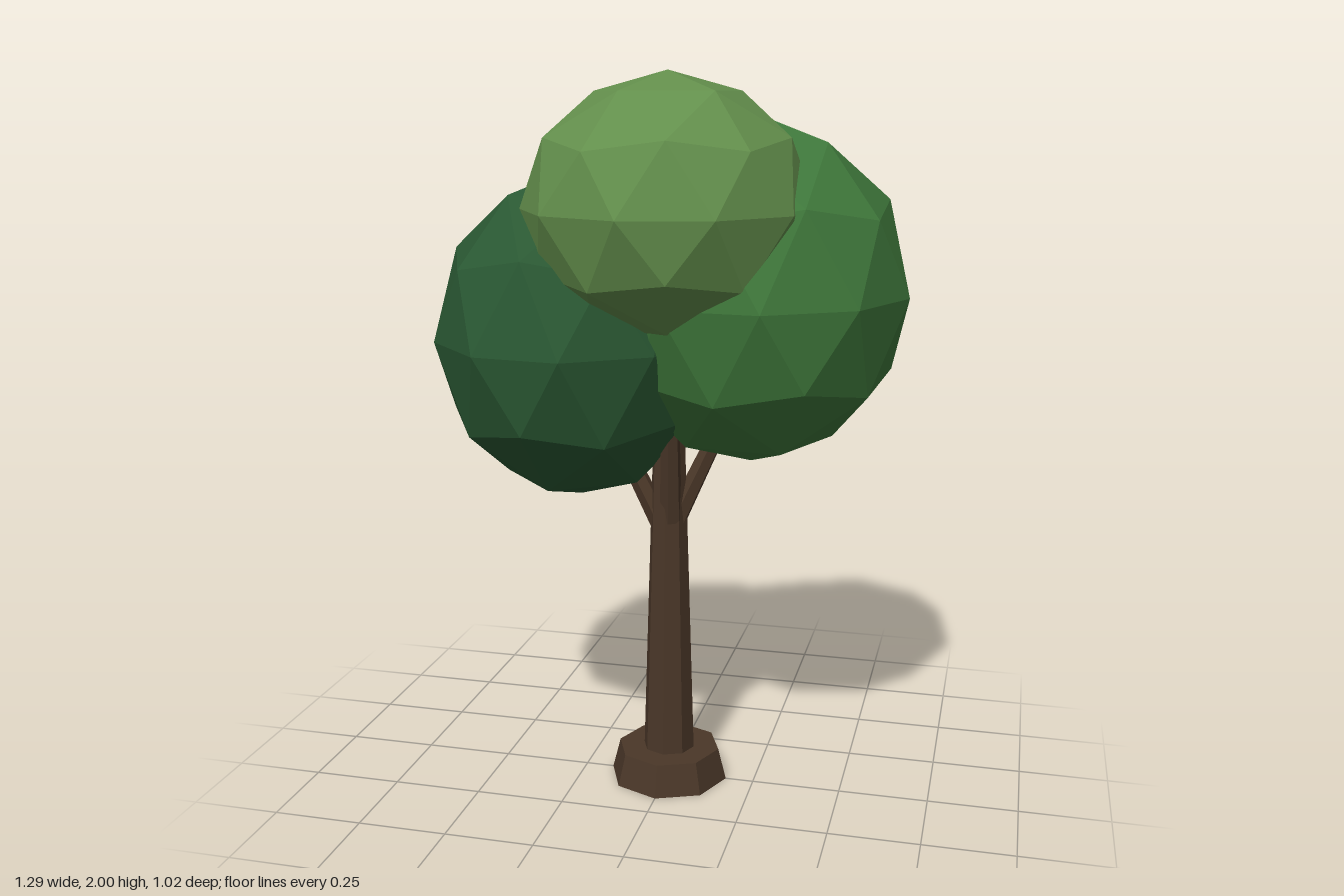
import * as THREE from 'three';

const material = (color) => new THREE.MeshStandardMaterial({ color, flatShading: true });

// Faceted ball with a vertex at each pole, turned about y and then stretched.
function foliage(name, color, center, radii, turn) {
  const geometry = new THREE.IcosahedronGeometry(1, 1);
  geometry.rotateX(-Math.atan((1 + Math.sqrt(5)) / 2));
  geometry.rotateY(-THREE.MathUtils.degToRad(turn));
  geometry.scale(...radii);
  const mesh = new THREE.Mesh(geometry, material(color));
  mesh.name = name;
  mesh.position.set(...center);
  return mesh;
}

// Tapered limb running between two points.
function limb(name, mat, from, to, r0, r1, sides) {
  const a = new THREE.Vector3(...from);
  const b = new THREE.Vector3(...to);
  const direction = b.clone().sub(a);
  const mesh = new THREE.Mesh(new THREE.CylinderGeometry(r1, r0, direction.length(), sides), mat);
  mesh.name = name;
  mesh.position.copy(a).add(b).multiplyScalar(0.5);
  mesh.quaternion.setFromUnitVectors(new THREE.Vector3(0, 1, 0), direction.normalize());
  return mesh;
}

export function createModel() {
  const tree = new THREE.Group();
  tree.name = 'tree';
  const bark = material(0x4a3728);

  // Root flare and trunk
  tree.add(limb('rootBase', bark, [0, 0, 0], [0, 0.09, 0], 0.17, 0.147, 8));
  tree.add(limb('trunk', bark, [0, 0.05, 0], [0, 1.12, 0], 0.075, 0.042, 8));

  // Branches reaching into each ball of leaves
  const branches = [
    ['leftBranch', [0.02, 0.78, 0], [0.2, 1.18, -0.06]],
    ['rightBranch', [-0.02, 0.76, 0], [-0.2, 1.1, -0.01]],
    ['frontBranch', [0.01, 0.78, 0.02], [0.03, 1.4, 0.12]],
  ];
  for (const [name, from, to] of branches) tree.add(limb(name, bark, from, to, 0.032, 0.02, 6));

  // Crown
  tree.add(foliage('leftFoliage', 0x3f783b, [0.217, 1.415, -0.08], [0.428, 0.475, 0.444], 5));
  tree.add(foliage('rightFoliage', 0x2a5833, [-0.26, 1.29, -0.02], [0.392, 0.46, 0.463], 42));
  tree.add(foliage('topFoliage', 0x638f4c, [0.025, 1.65, 0.117], [0.385, 0.35, 0.393], 23));
  return tree;
}
